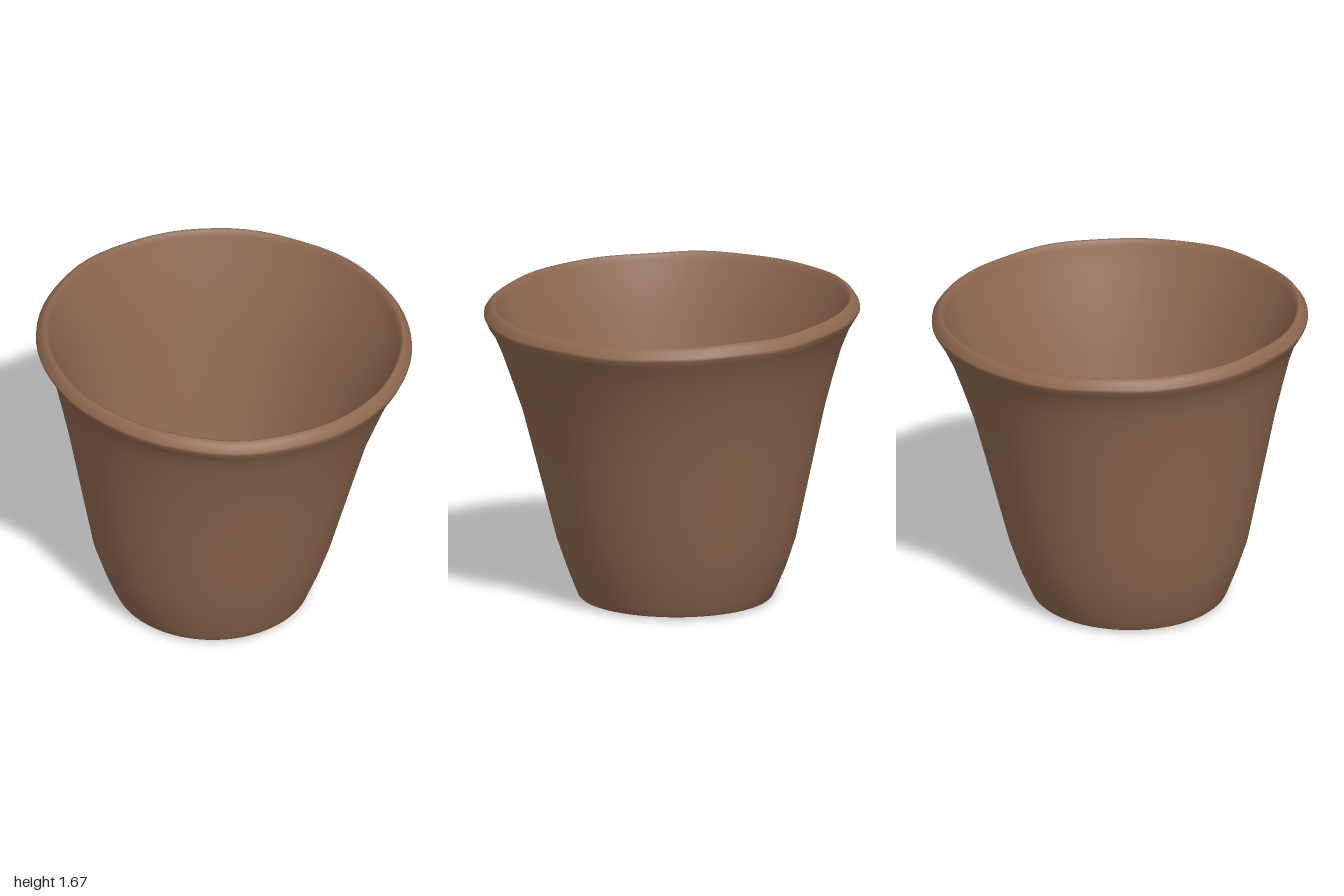
import * as THREE from 'three';

// Cross-section rings: [radius, height, centre x, centre z], running from the
// drain hole under the base, up the outside, over the rim and back down inside.
const RINGS = [
  [0.035, 0.05, -0.175, 0.025],
  [0.05, 0.028, -0.175, 0.025],
  [0.10, 0.012, -0.165, 0.015],
  [0.30, 0.003, -0.08, -0.03],
  [0.46, 0.006, -0.05, -0.045],
  [0.505, 0.016, -0.05, -0.045],
  [0.515, 0.025, -0.05, -0.045],
  [0.535, 0.07, -0.05, -0.047],
  [0.58, 0.18, -0.047, -0.048],
  [0.634, 0.34, -0.046, -0.047],
  [0.69, 0.58, -0.038, -0.038],
  [0.748, 0.83, -0.03, -0.028],
  [0.80, 1.05, -0.022, -0.02],
  [0.853, 1.23, -0.013, -0.01],
  [0.90, 1.38, -0.005, -0.003],
  [0.943, 1.485, 0.002, 0],
  [0.975, 1.535, 0, 0],
  [0.994, 1.57, 0, -0.003],
  [0.993, 1.585, 0, -0.003],
  [0.97, 1.618, 0, -0.003],
  [0.95, 1.634, 0, -0.003],
  [0.938, 1.63, 0, -0.003],
  [0.925, 1.6, 0, -0.003],
  [0.89, 1.5, 0, -0.003],
  [0.83, 1.35, -0.005, -0.01],
  [0.74, 1.05, -0.022, -0.025],
  [0.63, 0.6, -0.03, -0.045],
  [0.55, 0.3, -0.034, -0.055],
  [0.49, 0.15, -0.034, -0.057],
  [0.46, 0.105, -0.034, -0.057],
  [0.44, 0.096, -0.034, -0.057],
  [0.25, 0.09, -0.10, -0.02],
  [0.09, 0.085, -0.168, 0.02],
  [0.05, 0.075, -0.175, 0.025],
];

// Hand-thrown shell: closed loft through the rings with a tilted, uneven rim
function potGeometry(segments) {
  const positions = [];
  const index = [];
  const n = RINGS.length;
  RINGS.forEach(([r, y, cx, cz]) => {
    const top = THREE.MathUtils.smoothstep(y, 0.9, 1.6);
    for (let j = 0; j < segments; j++) {
      const a = (j / segments) * Math.PI * 2;
      const wobble = 1 + 0.005 * Math.sin(3 * a + 0.8) * Math.min(1, r * 1.5);
      const x = cx + r * wobble * Math.cos(a);
      const z = cz + r * wobble * Math.sin(a);
      const bumps = 0.003 * Math.sin(7 * a) + 0.002 * Math.sin(12 * a + 1);
      positions.push(x, y + top * (-0.019 * x - 0.032 * z + bumps), z);
    }
  });
  for (let i = 0; i < n; i++) {
    const p = i * segments;
    const q = ((i + 1) % n) * segments;
    for (let j = 0; j < segments; j++) {
      const k = (j + 1) % segments;
      index.push(p + j, q + j, p + k, q + j, q + k, p + k);
    }
  }
  const geometry = new THREE.BufferGeometry();
  geometry.setAttribute('position', new THREE.Float32BufferAttribute(positions, 3));
  geometry.setIndex(index);
  geometry.computeVertexNormals();
  return geometry;
}

export function createModel() {
  const group = new THREE.Group();
  group.name = 'flowerPot';
  const clay = new THREE.MeshStandardMaterial({ color: 0x8f684f });
  clay.name = 'brown clay';
  const pot = new THREE.Mesh(potGeometry(72), clay);
  pot.name = 'potShell';
  group.add(pot);
  return group;
}
